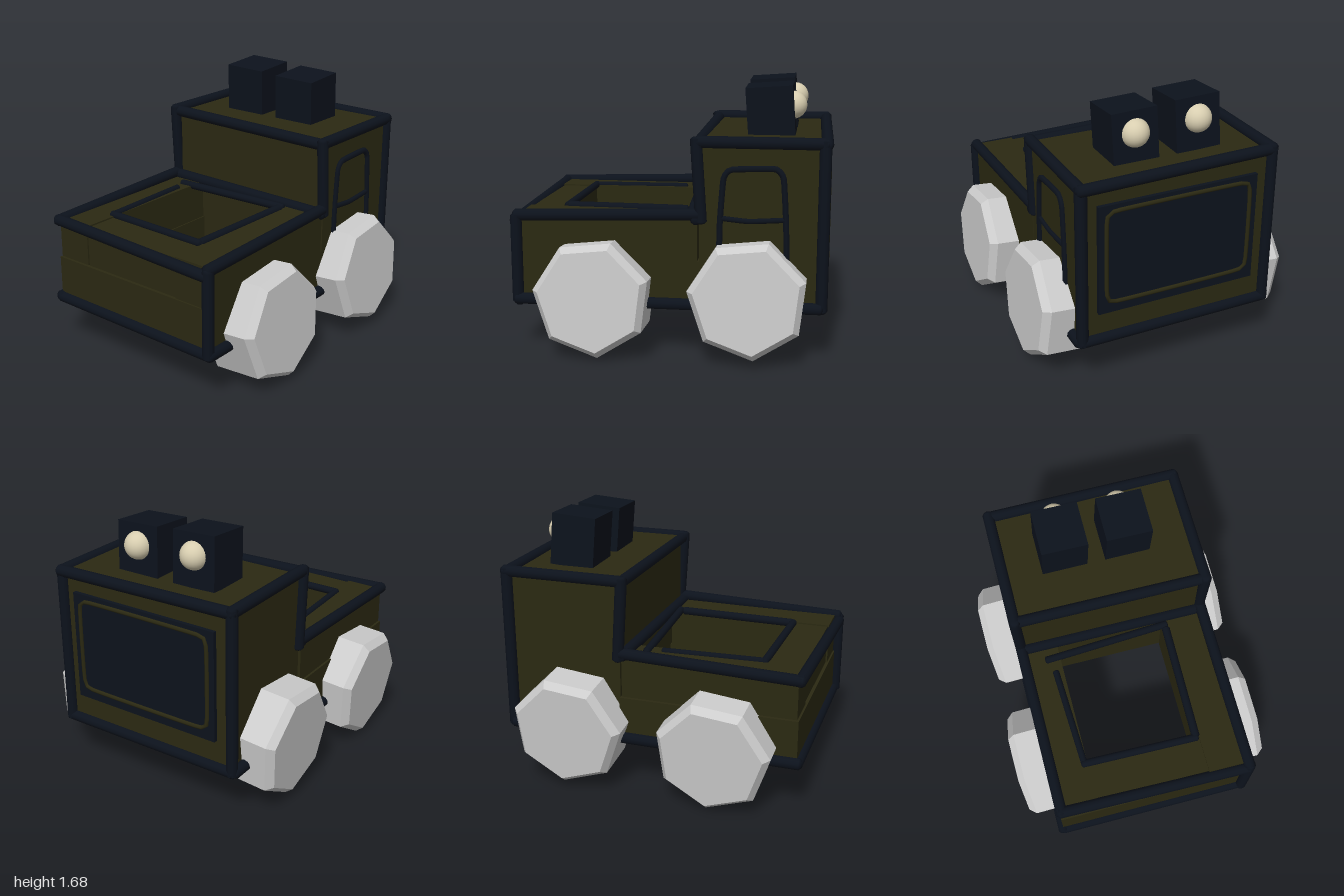
import * as THREE from 'three';

const olive = new THREE.MeshStandardMaterial({ color: 0x2b2912 });
const navy = new THREE.MeshStandardMaterial({ color: 0x0c121c });
const cream = new THREE.MeshStandardMaterial({ color: 0xd8ceb0 });
const grey = new THREE.MeshStandardMaterial({ color: 0xcccccc, flatShading: true });

export function createModel() {
  const model = new THREE.Group();
  const v = (p) => new THREE.Vector3(...p);

  const add = (name, geometry, material, parent = model) => {
    const mesh = new THREE.Mesh(geometry, material);
    mesh.name = name;
    parent.add(mesh);
    return mesh;
  };

  // Box given by its lower and upper corner
  const block = (name, a, b, material = olive) => {
    const mesh = add(name, new THREE.BoxGeometry(b[0] - a[0], b[1] - a[1], b[2] - a[2]), material);
    mesh.position.set((a[0] + b[0]) / 2, (a[1] + b[1]) / 2, (a[2] + b[2]) / 2);
    return mesh;
  };

  // Round bar with bevelled ends between two points
  const bar = (name, a, b, r = 0.037) => {
    const from = v(a), to = v(b);
    const h = from.distanceTo(to) / 2 + r * 0.8, e = r * 0.4;
    const profile = [[0, -h], [r - e, -h], [r, -h + e], [r, h - e], [r - e, h], [0, h]]
      .map(([x, y]) => new THREE.Vector2(x, y));
    const mesh = add(name, new THREE.LatheGeometry(profile, 10), navy);
    mesh.position.copy(from).add(to).multiplyScalar(0.5);
    mesh.quaternion.setFromUnitVectors(new THREE.Vector3(0, 1, 0), to.sub(from).normalize());
  };

  const trim = (name, points, closed, r, material) => add(name, new THREE.TubeGeometry(
    new THREE.CatmullRomCurve3(points.map(v), closed, 'catmullrom', 0.2), 64, r, 6, closed), material);

  // Cab, with a slim gap between it and the upper planks
  block('cab', [-0.61, 0.32, -0.94], [0.62, 1.345, -0.2]);

  // Open load bed: two layers of planks around a hole
  block('lowerPlankRight', [-0.63, 0.31, -0.2], [-0.38, 0.605, 0.93]);
  block('lowerPlankLeft', [0.355, 0.31, -0.2], [0.62, 0.605, 0.93]);
  block('lowerPlankFront', [-0.38, 0.31, 0.66], [0.355, 0.605, 0.93]);
  block('upperPlankRight', [-0.62, 0.61, -0.187], [-0.38, 0.87, 0.92]);
  block('upperPlankLeft', [0.355, 0.605, -0.187], [0.62, 0.87, 0.92]);
  block('upperPlankFront', [-0.38, 0.605, 0.66], [0.355, 0.86, 0.91]);

  // Frame around the cab
  for (const s of [-1, 1]) {
    const x = s * 0.615, top = 1.345 - s * 0.01;
    bar('cabRoofSideRail', [x, top, -0.2], [x, top, -0.94]);
    bar('cabFrontPost', [x, top, -0.18], [x, 0.87, -0.21]);
    bar('cabRearPost', [x, top, -0.94], [x, 0.34, -0.94]);
    bar('lowerSideRail', [s * 0.63, 0.33, 0.93], [s * 0.63, 0.34, -0.92]);
    bar('bedSideRail', [x, 0.86, 0.93], [x, 0.895, -0.18]);
  }
  bar('cabRoofFrontRail', [-0.615, 1.345, -0.19], [0.615, 1.325, -0.19]);
  bar('cabRoofRearRail', [-0.615, 1.35, -0.94], [0.615, 1.335, -0.95]);
  bar('cabBaseFrontRail', [-0.615, 0.885, -0.18], [0.615, 0.87, -0.18]);
  bar('lowerRearRail', [-0.615, 0.34, -0.94], [0.615, 0.34, -0.94]);

  // Frame around the bed
  bar('lowerFrontRail', [-0.615, 0.325, 0.93], [0.615, 0.32, 0.93]);
  bar('bedFrontRail', [-0.615, 0.86, 0.93], [0.6, 0.825, 0.945]);
  bar('bedFrontPost', [0.62, 0.84, 0.94], [0.62, 0.33, 0.94]);

  // Thin rim around the bed opening
  bar('openingRim', [-0.46, 0.87, -0.075], [0.35, 0.87, -0.12], 0.025);
  bar('openingRim', [-0.43, 0.87, 0.03], [-0.4, 0.87, 0.66], 0.022);
  bar('openingRim', [-0.4, 0.87, 0.665], [0.33, 0.87, 0.68], 0.025);
  bar('openingRim', [0.35, 0.87, -0.08], [0.335, 0.87, 0.66], 0.027);

  // Rear window with its trim
  block('rearWindow', [-0.51, 0.52, -0.965], [0.52, 1.22, -0.93], navy);
  trim('rearWindowTrim', [
    [-0.4, 1.18, -0.966], [0.41, 1.18, -0.966], [0.47, 1.12, -0.966], [0.47, 0.65, -0.966],
    [0.41, 0.59, -0.966], [-0.4, 0.59, -0.966], [-0.46, 0.65, -0.966], [-0.46, 1.12, -0.966],
  ], true, 0.014, olive);

  // Door outline on one side only
  trim('doorOutline', [
    [0.625, 0.5, -0.32], [0.625, 0.85, -0.325], [0.625, 1.12, -0.345], [0.625, 1.175, -0.39],
    [0.625, 1.185, -0.65], [0.625, 1.13, -0.7], [0.625, 0.85, -0.72], [0.625, 0.5, -0.73],
  ], false, 0.02, navy);
  trim('doorWindowSill', [[0.625, 0.88, -0.33], [0.625, 0.865, -0.5], [0.625, 0.88, -0.72]], false, 0.017, navy);

  // Two lamp boxes on the roof, lamps facing the rear
  for (const [x, y] of [[-0.22, 1.5], [0.185, 1.48]]) {
    const lamp = new THREE.Group();
    lamp.name = 'roofLamp';
    lamp.position.set(x, y, -0.6);
    lamp.rotation.set(0.07, 0, -0.03);
    model.add(lamp);
    add('lampBox', new THREE.BoxGeometry(0.29, 0.33, 0.29), navy, lamp);
    add('lampBulb', new THREE.SphereGeometry(0.087, 24, 16), cream, lamp).position.set(0, 0.03, -0.135);
  }

  // Seven-sided wheels with bevelled rims, all leaning the same way
  const wheelProfile = [[0, -0.2], [0.325, -0.2], [0.365, -0.155], [0.365, 0.155], [0.325, 0.2], [0, 0.2]]
    .map(([x, y]) => new THREE.Vector2(x, y));
  const wheel = new THREE.LatheGeometry(wheelProfile, 7).rotateZ(-Math.PI / 2).rotateX(Math.PI / 2 + 0.11);
  for (const x of [-0.62, 0.62]) {
    for (const [y, z] of [[0.375, 0.44], [0.405, -0.505]]) {
      const mesh = add('wheel', wheel, grey);
      mesh.position.set(x, y, z);
      mesh.rotation.z = 0.08;
    }
  }
  return model;
}
